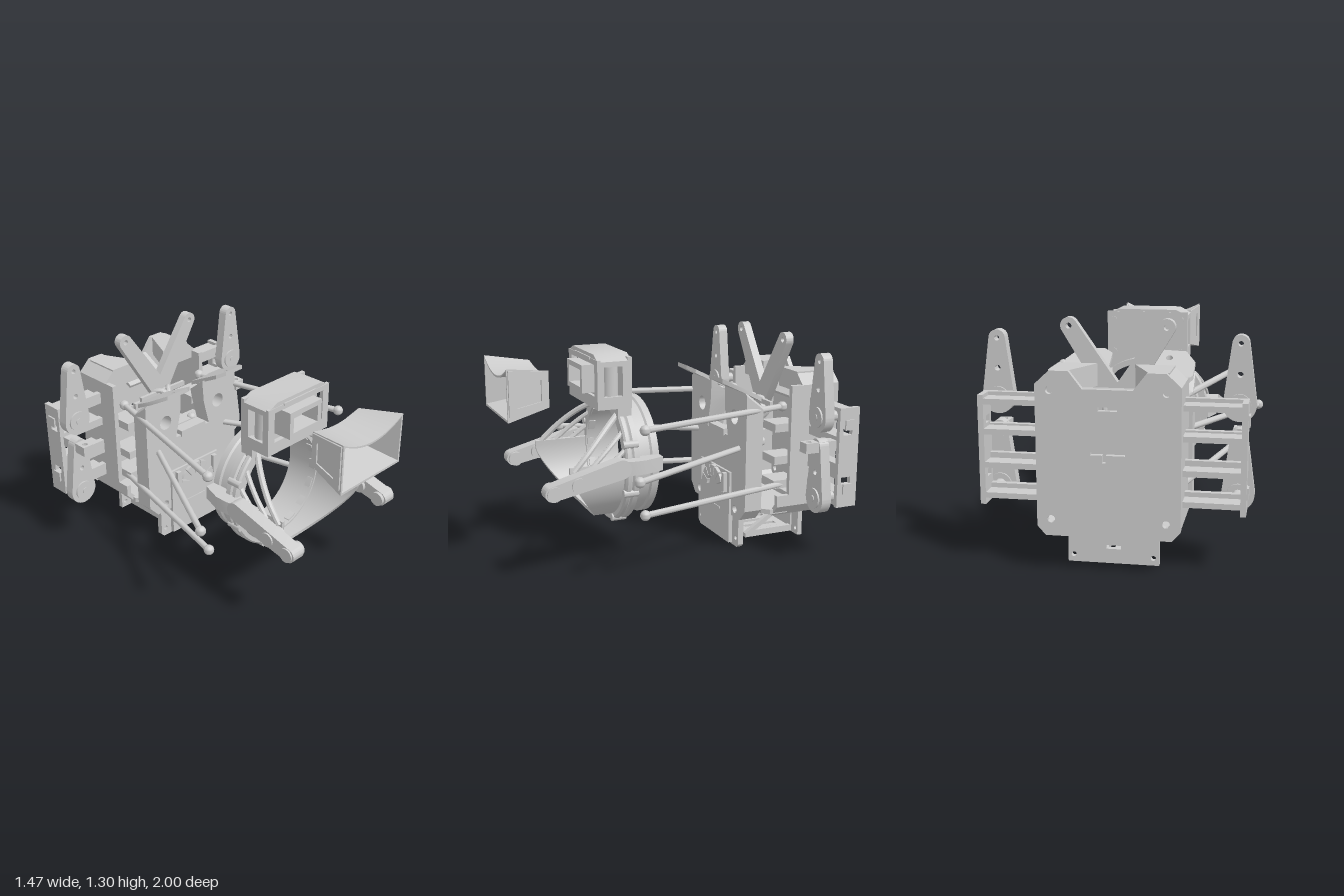
import * as THREE from 'three';
import { toCreasedNormals } from 'three/addons/utils/BufferGeometryUtils.js';

const material = new THREE.MeshStandardMaterial({ color: 0xcccccc });

export function createModel() {
  const root = new THREE.Group();
  const V = (x, y, z) => new THREE.Vector3(x, y, z);

  const add = (name, geo, x = 0, y = 0, z = 0, parent = root) => {
    const mesh = new THREE.Mesh(toCreasedNormals(geo, 0.6), material);
    mesh.name = name;
    mesh.position.set(x, y, z);
    parent.add(mesh);
    return mesh;
  };
  // box given by its extents
  const box = (name, x0, x1, y0, y1, z0, z1) =>
    add(name, new THREE.BoxGeometry(Math.abs(x1 - x0), y1 - y0, z1 - z0), (x0 + x1) / 2, (y0 + y1) / 2, (z0 + z1) / 2);
  const poly = (pts) => new THREE.Shape(pts.map(([x, y]) => new THREE.Vector2(x, y)));
  const rect = (x0, x1, y0, y1) => poly([[x0, y0], [x1, y0], [x1, y1], [x0, y1]]);
  const circle = (x, y, r) => new THREE.Path().absarc(x, y, r, 0, Math.PI * 2);
  const extrude = (shape, depth, holes = []) => {
    shape.holes.push(...holes);
    return new THREE.ExtrudeGeometry(shape, { depth, bevelEnabled: false, curveSegments: 16 });
  };
  // extrude a (z, y) shape sideways, ending at x = 0
  const extrudeSide = (shape, depth, holes) => extrude(shape, depth, holes).rotateY(-Math.PI / 2);
  // extrude an (x, -z) shape upward
  const extrudeUp = (shape, depth, holes) => extrude(shape, depth, holes).rotateX(-Math.PI / 2);
  // move y of every vertex by a rule
  const shiftY = (geo, rule) => {
    const p = geo.attributes.position;
    for (let i = 0; i < p.count; i++) p.setY(i, p.getY(i) + rule(p.getY(i), p.getZ(i)));
    return geo;
  };
  // lever with a round end of radius r1 at the origin and r2 at (0, len)
  const lever = (r1, r2, len) => {
    const s = Math.asin((r1 - r2) / len);
    return new THREE.Shape().absarc(0, len, r2, s, Math.PI - s, false).absarc(0, 0, r1, Math.PI - s, Math.PI * 2 + s, false);
  };
  const rod = (name, a, b, r) => {
    const m = add(name, new THREE.CylinderGeometry(r, r, a.distanceTo(b), 14));
    m.position.copy(a).add(b).multiplyScalar(0.5);
    m.quaternion.setFromUnitVectors(V(0, 1, 0), b.clone().sub(a).normalize());
  };
  const discZ = (name, r, depth, x, y, z, parent) =>
    add(name, new THREE.CylinderGeometry(r, r, depth, 20).rotateX(Math.PI / 2), x, y, z, parent);
  // skin closed loops of points, capped at both ends
  const loft = (loops) => {
    const p = [], n = loops[0].length;
    const tri = (...v) => v.forEach((q) => p.push(q.x, q.y, q.z));
    const mid = (l) => l.reduce((s, q) => s.add(q), V(0, 0, 0)).divideScalar(n);
    const first = loops[0], last = loops[loops.length - 1], c0 = mid(first), c1 = mid(last);
    for (let j = 0; j < n; j++) {
      const k = (j + 1) % n;
      for (let i = 0; i < loops.length - 1; i++) {
        const a = loops[i], b = loops[i + 1];
        tri(a[j], a[k], b[k]);
        tri(a[j], b[k], b[j]);
      }
      tri(c0, first[k], first[j]);
      tri(c1, last[j], last[k]);
    }
    return new THREE.BufferGeometry().setAttribute('position', new THREE.Float32BufferAttribute(p, 3));
  };

  // rear housing: back panel, open tray walls, notched top cap
  const screws = [];
  for (const x of [-0.3, 0.3]) for (const y of [0.29, 0.97]) screws.push(circle(x, y, 0.02));
  add('backPanel', extrude(poly([[-0.33, 0.2], [0.33, 0.2], [0.375, 0.25], [0.375, 1], [0.3, 1.07], [0.2, 1.07],
    [0.13, 0.98], [-0.13, 0.98], [-0.2, 1.07], [-0.3, 1.07], [-0.375, 1], [-0.375, 0.25]]), 0.03,
  [...screws, rect(-0.05, 0.05, 0.87, 0.89), poly([[-0.09, 0.655], [0.09, 0.655], [0.09, 0.64], [0.03, 0.64], [0.03, 0.6],
    [0.01, 0.6], [0.01, 0.64], [-0.09, 0.64]])]), 0, 0, -1);
  const tray = (top) => poly([[-0.31, 0.19], [0.31, 0.19], [0.375, 0.26], [0.375, top], [0.345, top], [0.345, 0.27],
    [0.3, 0.22], [-0.3, 0.22], [-0.345, 0.27], [-0.345, top], [-0.375, top], [-0.375, 0.26]]);
  add('housingWalls', extrude(tray(1), 0.29), 0, 0, -0.97);
  add('housingSill', extrude(tray(0.33), 0.08), 0, 0, -0.68);
  add('chute', new THREE.BoxGeometry(0.28, 0.02, 0.2).rotateX(0.5), 0, 0.93, -0.89);
  for (const s of [-1, 1]) {
    const cap = [[0.31, -0.97], [0.2, -0.97], [0.1, -0.75], [0.31, -0.75]].map(([x, z]) => [s * x, -z]);
    add('topCap', extrudeUp(poly(cap), 0.12), 0, 0.95, 0);
    add('capShoulder', extrude(poly([[0.3, 0.95], [0.375, 0.95], [0.375, 1], [0.3, 1.07]].map(([x, y]) => [s * x, y])), 0.22), 0, 0, -0.97);
    const foot = [[0.33, -0.7], [0.22, -0.7], [0.22, -0.54], [0.29, -0.54], [0.33, -0.58]].map(([x, z]) => [s * x, -z]);
    add('frontFoot', extrudeUp(poly(foot), 0.03), 0, 0.205, 0);
    for (const y of [0.37, 0.52, 0.72]) box('servoBody', s * 0.19, s * 0.345, y, y + 0.05, -0.75, -0.59);
  }

  // mounting bracket under the housing
  add('mountPlate', extrude(rect(-0.245, 0.245, 0.01, 0.25), 0.03,
    [circle(-0.215, 0.05, 0.014), circle(0.215, 0.05, 0.014), rect(-0.04, 0.04, 0.09, 0.11)]), 0, 0, -0.86);
  const slots = (half, n, y0, y1) => Array.from({ length: n }, (_, i) => {
    const x = -half + (2 * half * (i + 0.5)) / n;
    return rect(x - half / n * 0.45, x + half / n * 0.45, y0, y1);
  });
  add('slottedBase', extrudeUp(rect(-0.17, 0.17, 0.5, 0.84), 0.025, slots(0.16, 4, 0.56, 0.78)), 0, 0.015, 0);
  add('slottedShelf', extrudeUp(rect(-0.1, 0.1, 0.5, 0.8), 0.02, slots(0.08, 3, 0.58, 0.75)), 0, 0.66, 0);
  for (const x of [0.17, -0.14]) add('bracketGusset', extrudeSide(
    poly([[-0.84, 0.015], [-0.5, 0.015], [-0.5, 0.04], [-0.74, 0.2], [-0.84, 0.2]]), 0.03,
    [poly([[-0.82, 0.055], [-0.57, 0.055], [-0.78, 0.19], [-0.82, 0.19]])]), x);

  // face plate with slanted top, centre notch and lower tab
  add('facePlate', shiftY(extrude(poly([[-0.31, 0.19], [0.31, 0.19], [0.375, 0.26], [0.375, 0.92], [0.34, 0.94], [0.09, 0.94], [0.1, 0.84],
    [0.14, 0.68], [-0.14, 0.68], [-0.1, 0.84], [-0.09, 0.94], [-0.34, 0.94], [-0.375, 0.92], [-0.375, 0.26]]), 0.11,
  [circle(-0.22, 0.81, 0.045), circle(0.22, 0.81, 0.045), circle(-0.245, 0.24, 0.025), circle(0.245, 0.24, 0.025)])
    .translate(0, 0, -0.49), (y, z) => (y > 0.9 ? (z + 0.435) * 0.8 : 0)));
  box('notchCrossbar', -0.1, 0.1, 0.67, 0.71, -0.43, -0.37);
  add('lowerTab', extrude(poly([[-0.26, 0], [0.26, 0], [0.28, 0.02], [0.28, 0.22], [-0.28, 0.22], [-0.28, 0.02]]), 0.035,
    [circle(-0.245, 0.055, 0.014), circle(0.245, 0.055, 0.014)]), 0, 0, -0.425);
  box('tabPanel', -0.2, 0.2, 0.012, 0.46, -0.425, -0.365);
  box('tabSlot', -0.08, 0.08, 0.195, 0.208, -0.37, -0.36);
  for (let i = 0; i < 7; i++) {
    const a = (i + 0.06) * Math.PI / 7, b = (i + 0.94) * Math.PI / 7;
    add('fanSegment', extrude(new THREE.Shape().absarc(0, 0, 0.14, a, b, false).absarc(0, 0, 0.07, b, a, true), 0.02), 0, 0.32, -0.365);
  }
  for (const s of [-1, 1]) {
    box('tabRib', s * 0.14, s * 0.17, 0.33, 0.45, -0.365, -0.34);
    // tilted flap: height follows z
    const flap = poly([[0.33, 0.5], [0.11, 0.5], [0.11, 0.28], [0.16, 0.24], [0.31, 0.25], [0.37, 0.34], [0.37, 0.45]].map(([x, y]) => [s * x, y]));
    add('flap', shiftY(extrudeUp(flap, 0.025, [circle(s * 0.22, 0.31, 0.02)]), (y, z) => 0.92 + (z + 0.49) * 0.5));
  }

  // crossed V levers and centre pulleys
  for (const s of [-1, 1]) {
    const len = Math.hypot(0.26, 0.4);
    const arm = add('vLever', extrude(lever(0.06, 0.045, len), 0.05, [circle(0, len, 0.016)]), 0, 0.86, -0.72);
    arm.rotation.z = -s * Math.atan2(0.26, 0.4);
    const pulley = add('pulley', new THREE.TorusGeometry(0.065, 0.016, 10, 28), s * 0.035, 0.81, -0.64);
    pulley.rotation.y = s * 0.9;
    discZ('pulleyHub', 0.045, 0.05, s * 0.035, 0.8, -0.67);
  }
  box('leverBar', -0.18, 0.18, 0.84, 0.87, -0.665, -0.645);

  // side servo frames, teardrop arms and push rods
  for (const s of [-1, 1]) {
    add('servoFrameSide', extrudeSide(rect(-0.935, -0.805, 0.33, 0.92), 0.03,
      [rect(-0.89, -0.83, 0.47, 0.51), rect(-0.89, -0.83, 0.76, 0.8)]), s > 0 ? 0.7 : -0.67);
    // each rail is a tall front bar with a thin shelf behind it
    for (const [y0, y1] of [[0.34, 0.42], [0.5, 0.59], [0.7, 0.75], [0.85, 0.92]]) {
      box('servoRail', s * 0.37, s * 0.68, y0, y1, -0.84, -0.805);
      box('servoShelf', s * 0.37, s * 0.68, (y0 + y1) / 2 - 0.015, (y0 + y1) / 2 + 0.015, -0.935, -0.84);
    }
    for (const y of [0.44, 0.82]) box('frameLatch', s * 0.69, s * 0.71, y - 0.03, y + 0.03, -0.9, -0.84);
    for (const [y, len] of [[0.87, 0.32], [0.39, 0.31]]) {
      const arm = new THREE.Group();
      arm.name = 'servoArm';
      arm.position.set(s * 0.645, y, -0.715);
      root.add(arm);
      add('armPlate', extrude(lever(0.088, 0.045, len), 0.06, [circle(0, len, 0.014), circle(0, len * 0.5, 0.016)]), 0, 0, -0.03, arm);
      discZ('armHub', 0.06, 0.08, 0, 0, 0, arm);
      discZ('armScrew', 0.018, 0.09, 0, 0, 0, arm);
      discZ('servoShaft', 0.03, 0.1, 0, 0, -0.07, arm);
    }
    add('armLug', extrudeUp(rect(0.61, 0.68, 0.6, 0.8), 0.06, [circle(0.645, 0.635, 0.016)]), s > 0 ? 0 : -1.29, 0.67, 0);
    for (const [a, b] of [
      [V(s * 0.55, 0.87, 0.33), V(s * 0.315, 0.87, -0.65)],
      [V(s * 0.55, 0.39, 0.33), V(s * 0.3, 0.39, -0.77)],
      [V(s * 0.695, 0.63, 0.42), V(s * 0.18, 0.63, -0.585)],
    ]) {
      rod('pushRod', a, b, 0.018);
      for (const end of [a, b]) add('ballJoint', new THREE.SphereGeometry(0.03, 16, 12), end.x, end.y, end.z);
    }
  }

  // round frame: stepped ring with flange, screws and inner teeth
  const ring = [[0.315, 0.16], [0.35, 0.16], [0.35, 0.2], [0.34, 0.21], [0.34, 0.29], [0.38, 0.29], [0.38, 0.32],
    [0.37, 0.33], [0.38, 0.34], [0.38, 0.36], [0.37, 0.37], [0.315, 0.37], [0.315, 0.16]];
  add('ring', new THREE.LatheGeometry(ring.map(([r, z]) => new THREE.Vector2(r, z)), 72).rotateX(Math.PI / 2), 0, 0.6, 0);
  for (let i = 0; i < 8; i++) {
    const a = (i + 0.5) * Math.PI / 4;
    discZ('ringScrew', 0.022, 0.088, 0.37 * Math.cos(a), 0.6 + 0.37 * Math.sin(a), 0.335);
  }
  for (let i = 0; i < 16; i++) {
    const a = i * Math.PI / 8;
    add('ringTooth', new THREE.BoxGeometry(0.014, 0.06, 0.04), 0.314 * Math.cos(a), 0.6 + 0.314 * Math.sin(a), 0.34).rotation.z = a;
  }

  // lower cowl: curved shell whose front edge rises toward the sides
  const shell = [];
  for (let i = 0; i <= 40; i++) {
    const a = -Math.PI * (1.04 - 1.08 * i / 40), c = Math.cos(a), h = Math.sin(a);
    const z1 = 0.69 - 0.23 * Math.min(1, Math.max(0, -h)) ** 1.3;
    shell.push([[0.325, 0.36], [0.325, z1], [0.345, z1], [0.345, 0.36]].map(([r, z]) => V(r * c, 0.6 + r * h, z)));
  }
  add('lowerCowl', loft(shell));
  for (const s of [-1, 1]) {
    // struts follow the curve of the cowl up to the ring
    for (const [z0, a1, r] of [[0.67, 1.0, 0.018], [0.58, 0.65, 0.015], [0.48, 0.35, 0.015]]) {
      const pts = [0, 0.25, 0.5, 0.75, 1].map((t) => {
        const a = 0.05 + (a1 - 0.05) * t;
        return V(s * 0.345 * Math.cos(a), 0.6 + 0.345 * Math.sin(a), z0 + (0.35 - z0) * t);
      });
      add('cowlStrut', new THREE.TubeGeometry(new THREE.CatmullRomCurve3(pts), 16, r, 8));
    }
    // side lever with pivot lugs
    const pod = add('sideLever', extrudeSide(lever(0.055, 0.042, 0.41), 0.08, [circle(0, 0.41, 0.016), circle(0, 0.27, 0.016)]),
      s > 0 ? 0.44 : -0.36, 0.63, 0.42);
    pod.rotation.x = Math.PI / 2 + 0.23;
    const block = [[0.34, 0.16], [0.4, 0.16], [0.44, 0.28], [0.44, 0.36], [0.42, 0.44], [0.34, 0.44]].map(([x, z]) => [s * x, -z]);
    add('sideBlock', extrudeUp(poly(block), 0.08), 0, 0.59, 0);
    for (const [z, y] of [[0.81, 0.537], [0.67, 0.57]])
      add('leverBoss', new THREE.CylinderGeometry(0.042, 0.042, 0.11, 20).rotateZ(Math.PI / 2), s * 0.395, y, z);
  }

  // sensor box on top of the ring
  box('boxBack', -0.25, 0.25, 0.93, 1.22, 0.285, 0.31);
  add('boxTop', extrude(poly([[-0.25, 1.19], [0.25, 1.19], [0.25, 1.2], [0.18, 1.235], [-0.18, 1.235], [-0.25, 1.2]]), 0.2), 0, 0, 0.287);
  box('boxFloor', -0.25, 0.25, 0.93, 0.97, 0.287, 0.487);
  for (const x of [0.25, -0.22]) add('boxSide', extrudeSide(rect(0.287, 0.487, 0.94, 1.2), 0.03, [rect(0.34, 0.45, 1, 1.17)]), x);
  add('boxFront', extrude(rect(-0.25, 0.25, 0.93, 1.21), 0.02, [rect(-0.2, 0.2, 1, 1.18)]), 0, 0, 0.47);
  add('sensorFrame', extrude(rect(-0.13, 0.13, 1.01, 1.17), 0.13, [rect(-0.1, 0.1, 1.04, 1.14)]), 0, 0, 0.41);
  box('sensorBoard', -0.22, 0.22, 0.97, 1.19, 0.41, 0.425);
  box('topVent', -0.13, 0.13, 1.2, 1.215, 0.48, 0.495);
  for (const s of [-1, 1]) {
    add('boxRoller', new THREE.CylinderGeometry(0.045, 0.045, 0.17, 20), s * 0.19, 1.085, 0.395);
    box('boxFoot', s * 0.17, s * 0.25, 0.87, 0.94, 0.29, 0.37);
    for (const y of [0.97, 1.17]) discZ('boxScrew', 0.02, 0.01, s * 0.21, y, 0.283);
  }

  // detached flared hood with a sagging top edge
  const hoodLoop = (w, y0, y1, sag, z) => {
    const pts = [V(-w, y0, z), V(w, y0, z)];
    for (let i = 0; i <= 14; i++) {
      const t = 1 - i / 7;
      pts.push(V(w * t, y1 - sag * (1 - t * t), z));
    }
    return pts;
  };
  add('hood', loft([hoodLoop(0.19, 0.96, 1.165, 0.03, 0.75), hoodLoop(0.25, 0.905, 1.2, 0.07, 1),
    hoodLoop(0.238, 0.918, 1.187, 0.068, 1), hoodLoop(0.182, 0.968, 1.155, 0.03, 0.77)]));
  for (const s of [-1, 1]) {
    // raised frame on each hood cheek
    const cheek = add('hoodCheekFrame', extrudeSide(poly([[-0.12, -0.1], [0.12, -0.135], [0.12, 0.12], [-0.12, 0.09]]), 0.012,
      [poly([[-0.08, -0.07], [0.07, -0.09], [0.07, 0.07], [-0.08, 0.05]])]), s * 0.22 + (s > 0 ? 0.008 : 0.004), 1.07, 0.875);
    cheek.rotation.y = s * 0.235;
  }
  return root;
}
